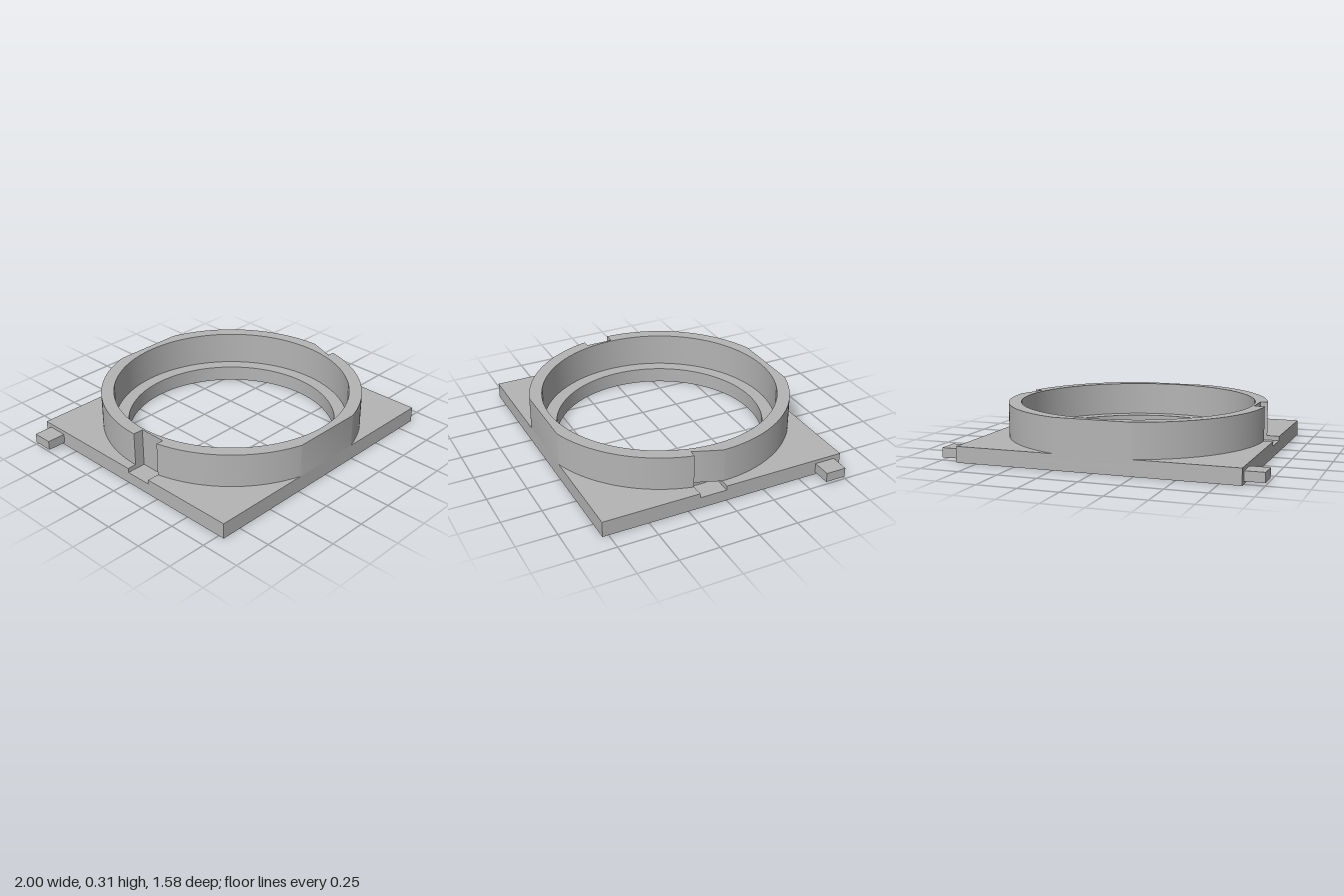
import * as THREE from 'three';
import { toCreasedNormals } from 'three/addons/utils/BufferGeometryUtils.js';

const W = 0.88, D = 0.788;             // plate half width and half depth
const HOLE = 0.66, INNER = 0.743, OUTER = 0.822; // radii
const FLOOR = 0.072, PLATE = 0.1, TOP = 0.314;   // heights
const NX = 0.756, NZ = 0.175;          // side notch: inner x and front z (back z = 0)
const CUT = Math.asin(D / OUTER), NOTCH = Math.asin(NZ / OUTER);

const polygon = (pts) => new THREE.Shape(pts.map(([x, y]) => new THREE.Vector2(x, y)));

function bore(shape, r) {
  shape.holes.push(new THREE.Path().absarc(0, 0, r, 0, Math.PI * 2, true));
  return shape;
}

// Upright walls of a shape (drawn in x, -z), optionally with its lower or upper face
function slab(shape, y0, y1, bottom, top) {
  const ext = new THREE.ExtrudeGeometry(shape, { depth: y1 - y0, bevelEnabled: false, curveSegments: 64 });
  const p = ext.attributes.position.array;
  const caps = ext.groups[0].count * 3;
  const parts = [p.slice(caps)];
  if (bottom) parts.push(p.slice(0, caps / 2));
  if (top) parts.push(p.slice(caps / 2, caps));
  const geo = new THREE.BufferGeometry();
  const all = new Float32Array(parts.reduce((n, a) => n + a.length, 0));
  let at = 0;
  for (const a of parts) { all.set(a, at); at += a.length; }
  geo.setAttribute('position', new THREE.BufferAttribute(all, 3));
  geo.rotateX(-Math.PI / 2).translate(0, y0, 0);
  return toCreasedNormals(geo, 0.4);
}

const face = (shape, y) => new THREE.ShapeGeometry(shape, 64).rotateX(-Math.PI / 2).translate(0, y, 0);

export function createModel() {
  const model = new THREE.Group();
  const grey = new THREE.MeshStandardMaterial({ color: 0xb4b4b4 });
  grey.name = 'grey';
  const add = (name, geo) => {
    const mesh = new THREE.Mesh(geo, grey);
    mesh.name = name;
    model.add(mesh);
  };

  // Base plate: plain below the notch floor, notched above it
  add('plateLower', slab(bore(polygon([[-W, -D], [W, -D], [W, D], [-W, D]]), HOLE), 0, FLOOR, true, false));
  add('plateUpper', slab(bore(polygon([
    [-W, -D], [W, -D], [W, -NZ], [NX, -NZ], [NX, 0], [W, 0], [W, D],
    [-W, D], [-W, 0], [-NX, 0], [-NX, -NZ], [-W, -NZ],
  ]), HOLE), FLOOR, PLATE, false, false));

  // Shelf inside the ring
  add('shelf', face(bore(new THREE.Shape().absarc(0, 0, INNER, 0, Math.PI * 2, false), HOLE), PLATE));

  // Plate top outside the ring, and the notch floors
  for (const s of [1, -1]) {
    const side = s > 0 ? 'left' : 'right';
    for (const [end, t, a] of [['Back', 1, 0], ['Front', -1, NOTCH]]) {
      const corner = [[s * W, t * OUTER * Math.sin(a)], [s * W, t * D]];
      for (let i = 0; i <= 32; i++) {
        const k = CUT + (a - CUT) * i / 32;
        corner.push([s * OUTER * Math.cos(k), t * OUTER * Math.sin(k)]);
      }
      add(side + end + 'Corner', face(polygon(corner), PLATE));
    }
    add(side + 'NotchFloor', face(polygon([[s * NX, -NZ], [s * W, -NZ], [s * W, 0], [s * NX, 0]]), FLOOR));

    // Side tab near the back
    const tab = new THREE.BoxGeometry(1 - W, 0.06, 0.131);
    add(side + 'Tab', tab.translate(s * (1 + W) / 2, 0.046, -0.68));
  }

  // Raised ring, trimmed flush at front and back and cut by the side notches
  const ring = new THREE.Shape();
  ring.moveTo(NX, 0);
  ring.absarc(0, 0, OUTER, 0, CUT, false);
  ring.absarc(0, 0, OUTER, Math.PI - CUT, Math.PI, false);
  ring.lineTo(-NX, 0);
  ring.lineTo(-NX, -NZ);
  ring.absarc(0, 0, OUTER, Math.PI + NOTCH, Math.PI + CUT, false);
  ring.absarc(0, 0, OUTER, Math.PI * 2 - CUT, Math.PI * 2 - NOTCH, false);
  ring.lineTo(NX, -NZ);
  ring.closePath();
  add('ring', slab(bore(ring, INNER), PLATE, TOP, false, true));

  return model;
}
